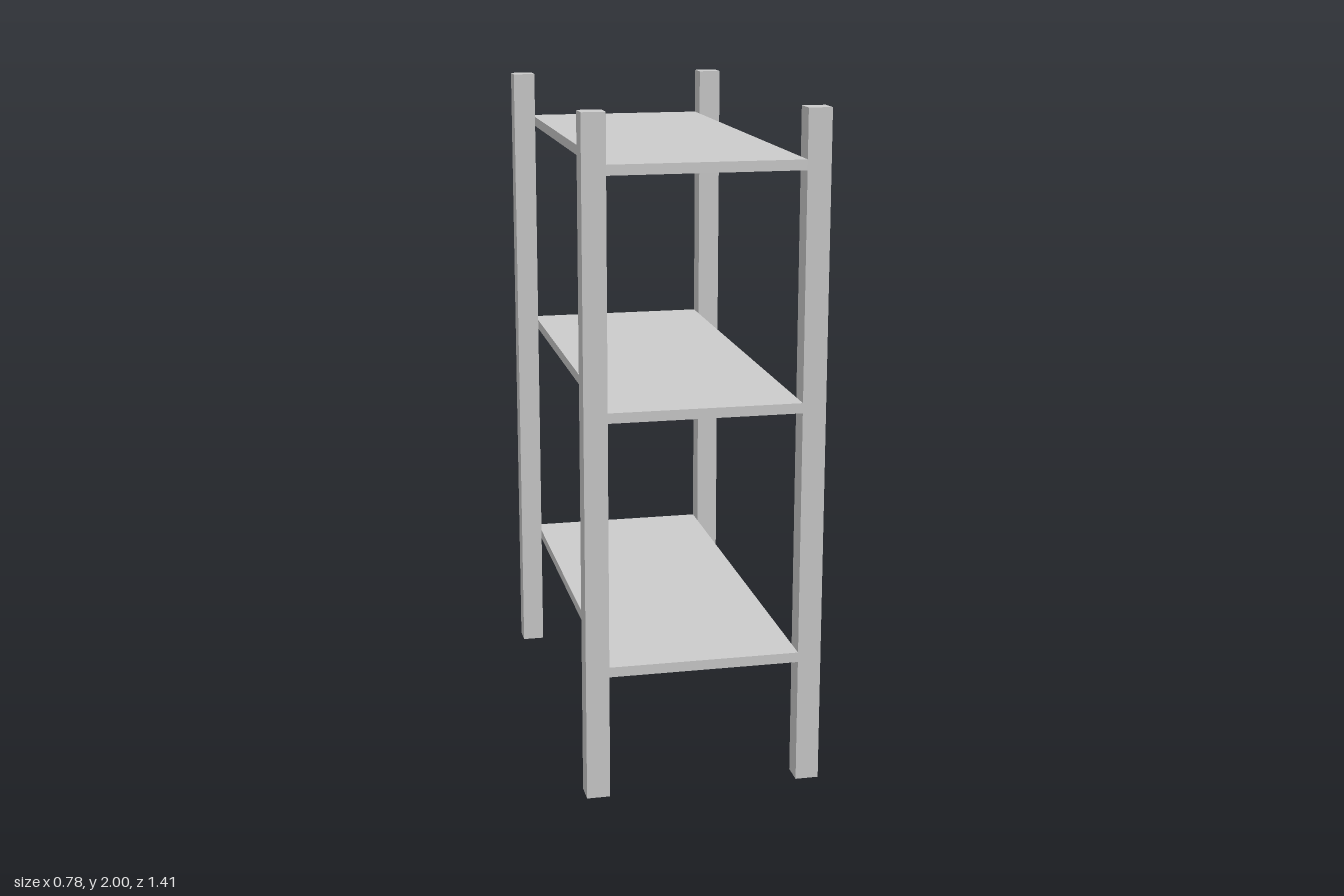
import * as THREE from 'three';

export function createModel() {
  const model = new THREE.Group();
  model.name = 'shelvingUnit';
  const material = new THREE.MeshStandardMaterial({ color: 0xcccccc, flatShading: true });

  const halfWidth = 0.352, halfDepth = 0.685, post = 0.069, height = 2;

  const addBox = (name, size, position) => {
    const mesh = new THREE.Mesh(new THREE.BoxGeometry(...size), material);
    mesh.name = name;
    mesh.position.set(...position);
    model.add(mesh);
  };

  // Four square corner posts
  for (const [side, sx] of [['Left', 1], ['Right', -1]]) {
    for (const [end, sz] of [['front', 1], ['back', -1]]) {
      addBox(`${end}${side}Post`, [post, height, post],
        [sx * (halfWidth - post / 2), height / 2, sz * (halfDepth - post / 2)]);
    }
  }

  // Three thin shelves fitted between the posts
  const shelfHeights = { lowerShelf: 0.39, middleShelf: 1.149, upperShelf: 1.843 };
  for (const [name, y] of Object.entries(shelfHeights)) {
    addBox(name, [2 * (halfWidth - post), 0.03, 2 * halfDepth], [0, y, 0]);
  }

  // The whole unit stands slightly turned
  model.rotation.y = -0.06;
  return model;
}
